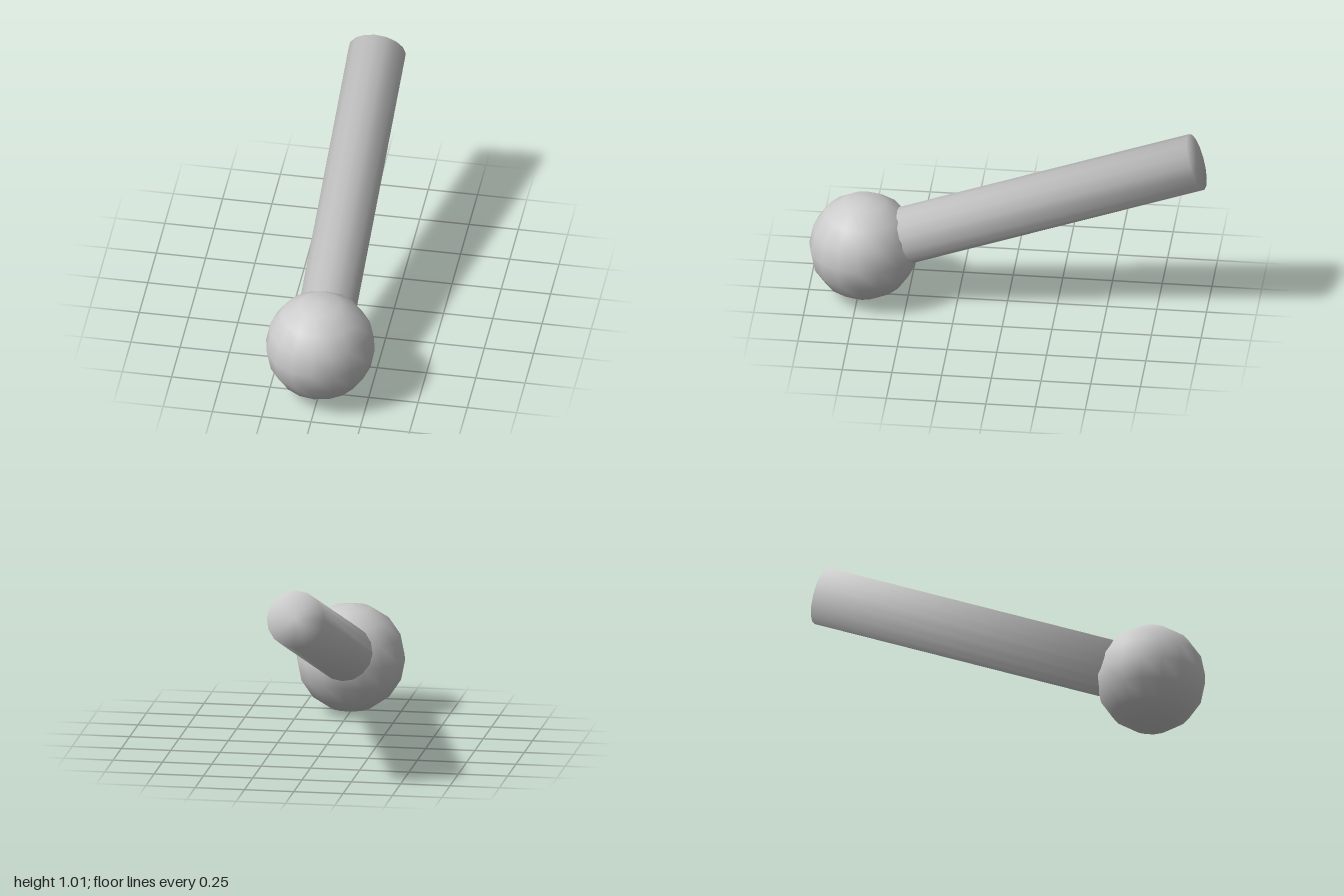
import * as THREE from 'three';

const SIDES = 16;
const BALL_RADIUS = 0.275;
const ROD_RADIUS = 0.145;
const BALL_CENTRE = new THREE.Vector3(0, 0.28, 0.723);
const ROD_END = new THREE.Vector3(0, 0.88, -0.95);

// Capped cylinder whose rim normals are blended between wall and cap
function softCylinder(radius, length) {
  const geometry = new THREE.CylinderGeometry(radius, radius, length, SIDES, 1);
  const { position, normal } = geometry.attributes;
  const n = new THREE.Vector3();
  for (let i = 0; i < position.count; i++) {
    n.set(position.getX(i) / radius, 0.88 * Math.sign(position.getY(i)), position.getZ(i) / radius).normalize();
    normal.setXYZ(i, n.x, n.y, n.z);
  }
  return geometry;
}

export function createModel() {
  const model = new THREE.Group();
  const material = new THREE.MeshStandardMaterial({ color: 0xcccccc });

  // Ball resting on the ground at the front
  const ball = new THREE.Mesh(new THREE.SphereGeometry(BALL_RADIUS, SIDES, SIDES / 2), material);
  ball.name = 'ball';
  ball.position.copy(BALL_CENTRE);
  model.add(ball);

  // Rod rising backwards from the centre of the ball
  const axis = ROD_END.clone().sub(BALL_CENTRE);
  const rod = new THREE.Mesh(softCylinder(ROD_RADIUS, axis.length()), material);
  rod.name = 'rod';
  rod.position.copy(BALL_CENTRE).lerp(ROD_END, 0.5);
  rod.rotation.x = Math.atan2(axis.z, axis.y);
  model.add(rod);

  return model;
}
